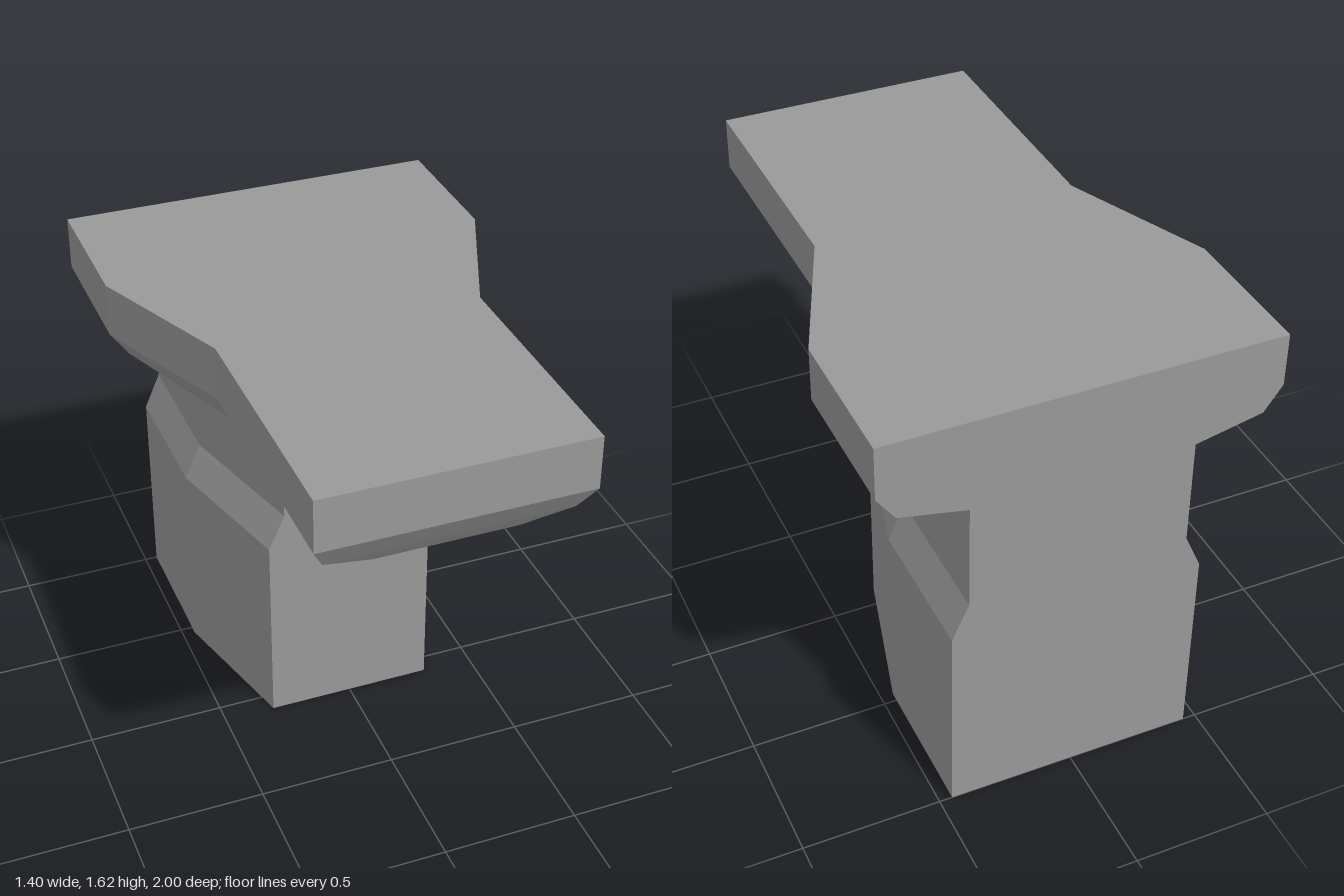
import * as THREE from 'three';

const stone = new THREE.MeshStandardMaterial({ color: 0x999999 });
stone.name = 'grey stone';

// Lofts stacked layers, each { y, rows: [[halfWidth, z], ...] } with rows running back to front.
function loft(name, layers) {
  const pos = [];
  const tri = (a, b, c) => {
    const area = b.clone().sub(a).cross(c.clone().sub(a)).length();
    if (area > 1e-8) pos.push(...a.toArray(), ...b.toArray(), ...c.toArray());
  };
  const quad = (a, b, c, d) => { tri(a, b, c); tri(a, c, d); };

  // Ring: left side back to front, then right side front to back
  const rings = layers.map(({ y, rows }) => [
    ...rows.map(([w, z]) => new THREE.Vector3(w, y, z)),
    ...[...rows].reverse().map(([w, z]) => new THREE.Vector3(-w, y, z)),
  ]);
  const n = rings[0].length;

  // Walls between neighbouring layers
  for (let k = 0; k < rings.length - 1; k++) {
    const a = rings[k], b = rings[k + 1];
    for (let i = 0; i < n; i++) {
      const j = (i + 1) % n;
      quad(a[i], b[i], b[j], a[j]);
    }
  }

  // Bottom and top caps, as strips across the width
  const bottom = rings[0], top = rings[rings.length - 1];
  for (let i = 0; i < n / 2 - 1; i++) {
    const r = n - 1 - i;
    quad(top[i], top[r], top[r - 1], top[i + 1]);
    quad(bottom[i], bottom[i + 1], bottom[r - 1], bottom[r]);
  }

  const geometry = new THREE.BufferGeometry();
  geometry.setAttribute('position', new THREE.Float32BufferAttribute(pos, 3));
  geometry.computeVertexNormals();
  const mesh = new THREE.Mesh(geometry, stone);
  mesh.name = name;
  return mesh;
}

const BACK = -1, BEND = -0.465, FACE = 0.075;

// Plan outlines: wide at the back, tapering to the front face
const pierRows = (wide, narrow) => [[wide, BACK], [wide, BEND], [narrow, FACE]];
const slabRows = (wide, narrow, front) => [...pierRows(wide, narrow), [narrow, front]];

export function createModel() {
  const model = new THREE.Group();
  model.name = 'corbelPier';

  // Pier with a sloped shoulder
  model.add(loft('pier', [
    { y: 0, rows: pierRows(0.453, 0.31) },
    { y: 0.75, rows: pierRows(0.453, 0.31) },
    { y: 0.885, rows: pierRows(0.393, 0.25) },
    { y: 1.283, rows: pierRows(0.393, 0.25) },
  ]));

  // Overhanging slab with chamfered underside
  model.add(loft('slab', [
    { y: 1.283, rows: slabRows(0.393, 0.25, 0.91) },
    { y: 1.335, rows: slabRows(0.635, 0.43, 0.945) },
    { y: 1.427, rows: slabRows(0.7, 0.477, 1) },
    { y: 1.622, rows: slabRows(0.7, 0.477, 1) },
  ]));

  // Wedge bracket bracing the front overhang
  model.add(loft('bracket', [
    { y: 0.885, rows: [[0.095, FACE], [0.095, FACE]] },
    { y: 1.283, rows: [[0.25, FACE], [0.25, 0.91]] },
  ]));

  return model;
}
